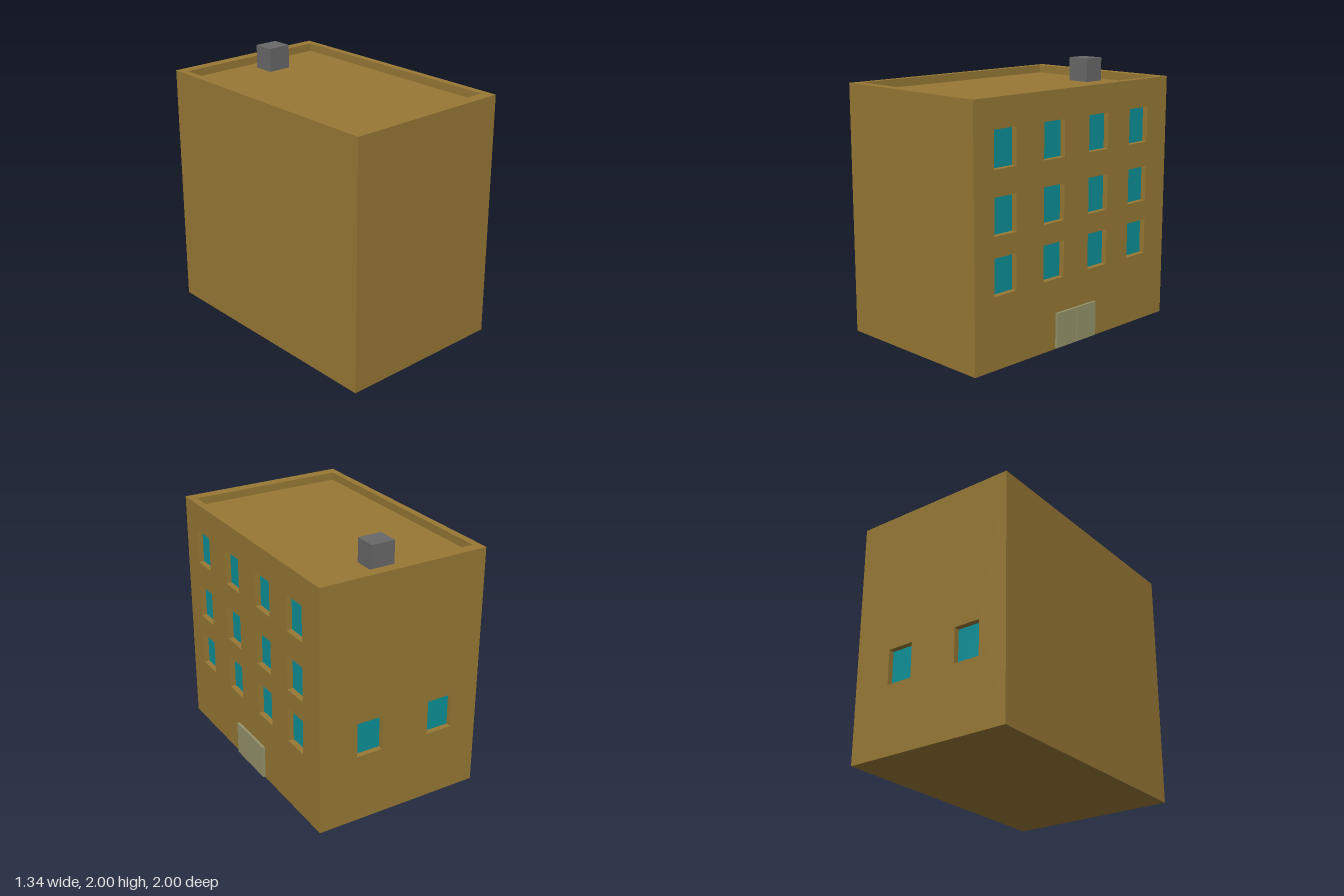
import * as THREE from 'three';

const material = (color) => new THREE.MeshStandardMaterial({ color });

// Building extents
const LEFT = 0.65, RIGHT = -0.67, FRONT = 1, BACK = -1;
const ROOF = 1.82, TOP = 1.88, RECESS = 0.045;
const WINDOW_W = 0.208, WINDOW_H = 0.267;

export function createModel() {
  const model = new THREE.Group();
  model.name = 'building';
  const brick = material(0x987935);
  const glass = material(0x0d9299);
  const chimneyGrey = material(0x696969);
  const doorPaint = material(0x96946a);

  // Box given by its minimum and maximum corners
  const box = (name, mat, [x0, y0, z0], [x1, y1, z1]) => {
    const mesh = new THREE.Mesh(new THREE.BoxGeometry(x1 - x0, y1 - y0, z1 - z0), mat);
    mesh.position.set((x0 + x1) / 2, (y0 + y1) / 2, (z0 + z1) / 2);
    mesh.name = name;
    model.add(mesh);
  };

  const rectangle = (Type, x0, y0, x1, y1) => {
    const r = new Type();
    r.moveTo(x0, y0);
    r.lineTo(x1, y0);
    r.lineTo(x1, y1);
    r.lineTo(x0, y1);
    r.closePath();
    return r;
  };

  // Wall slab pierced by windows, with panes set at the back of the openings
  const windowWall = (name, u0, u1, centres) => {
    const wall = new THREE.Group();
    wall.name = name;
    const shape = rectangle(THREE.Shape, u0, 0, u1, ROOF);
    for (const [u, v] of centres) {
      shape.holes.push(rectangle(THREE.Path, u - WINDOW_W / 2, v - WINDOW_H / 2, u + WINDOW_W / 2, v + WINDOW_H / 2));
      const pane = new THREE.Mesh(new THREE.PlaneGeometry(WINDOW_W, WINDOW_H), glass);
      pane.position.set(u, v, 0.002);
      pane.name = 'windowPane';
      wall.add(pane);
    }
    const slab = new THREE.Mesh(new THREE.ExtrudeGeometry(shape, { depth: RECESS, bevelEnabled: false }), brick);
    slab.name = 'wallSlab';
    wall.add(slab);
    model.add(wall);
    return wall;
  };

  // Solid body behind the two windowed walls
  box('body', brick, [RIGHT, 0, BACK + RECESS], [LEFT - RECESS, ROOF, FRONT]);

  // Entrance wall: three rows of four windows
  const sideCentres = [];
  for (const y of [0.662, 1.079, 1.534])
    for (const z of [0.713, 0.24, -0.224, -0.671]) sideCentres.push([-z, y]);
  const entranceWall = windowWall('entranceWall', -FRONT, -BACK, sideCentres);
  entranceWall.rotation.y = Math.PI / 2;
  entranceWall.position.x = LEFT - RECESS;

  // Back wall: two windows in the lowest row
  const backWall = windowWall('backWall', RECESS - LEFT, -RIGHT, [[-0.245, 0.662], [0.345, 0.662]]);
  backWall.rotation.y = Math.PI;
  backWall.position.z = BACK + RECESS;

  // Parapet ring around the sunken roof
  const ring = rectangle(THREE.Shape, RIGHT, -FRONT, LEFT, -BACK);
  ring.holes.push(rectangle(THREE.Path, -0.617, -0.915, 0.595, 0.92));
  const parapet = new THREE.Mesh(new THREE.ExtrudeGeometry(ring, { depth: TOP - ROOF, bevelEnabled: false }), brick);
  parapet.rotation.x = -Math.PI / 2;
  parapet.position.y = ROOF;
  parapet.name = 'parapet';
  model.add(parapet);

  // Chimney standing on the roof
  box('chimney', chimneyGrey, [-0.04, ROOF, -0.82], [0.145, 2, -0.655]);

  // Double door
  box('doorLeaf', doorPaint, [LEFT, 0.01, 0.014], [0.67, 0.272, 0.217]);
  box('doorLeaf', doorPaint, [LEFT, 0.01, -0.197], [0.67, 0.272, 0.008]);

  return model;
}
